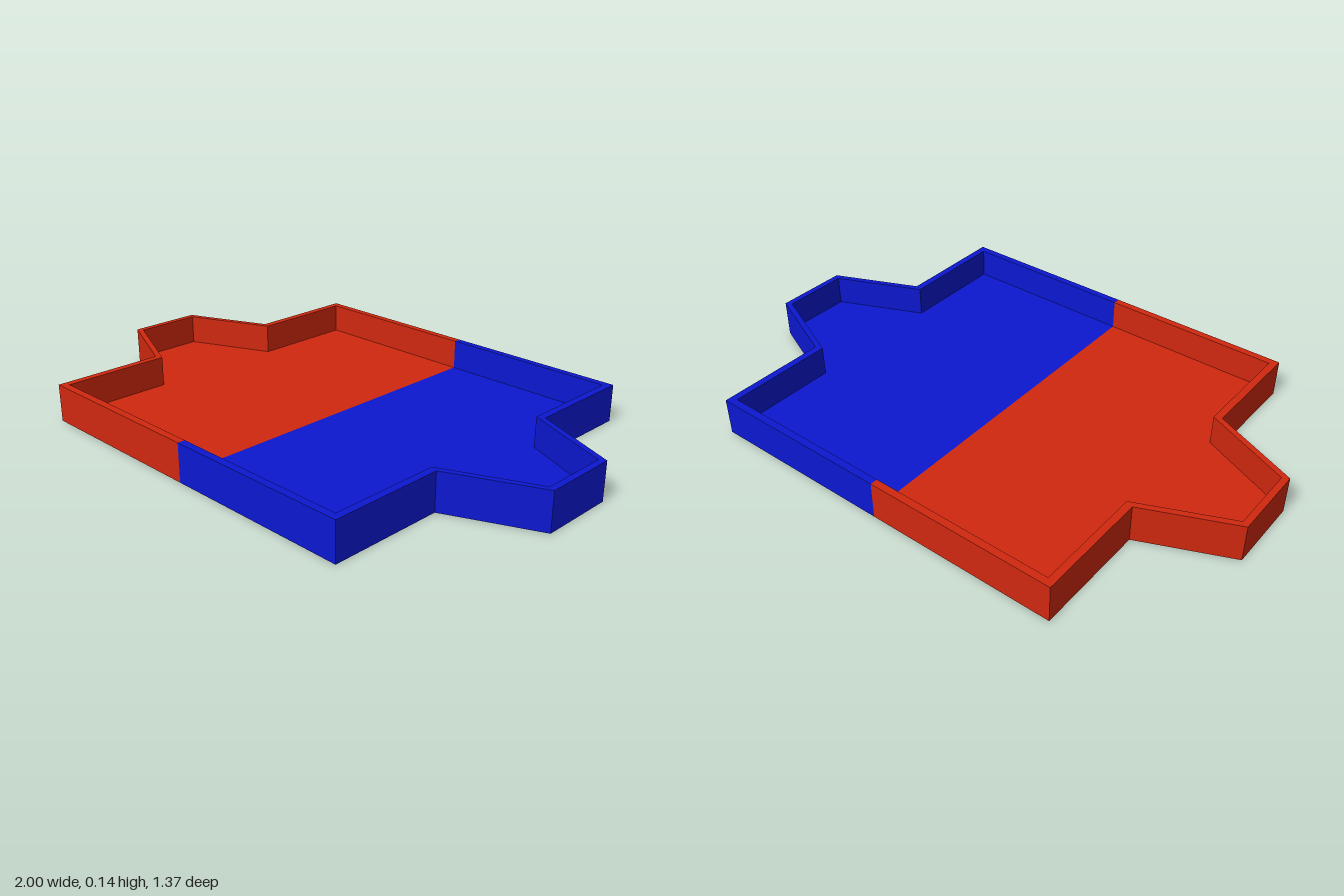
import * as THREE from 'three';

const HEIGHT = 0.137, FLOOR = 0.027;

// Half outlines from the centre seam round one side, as [x, z]; the other z half is mirrored
const OUTER = [[0, 0.687], [0.687, 0.687], [0.687, 0.274], [1, 0.137]];
const INNER = [[0, 0.66], [0.66, 0.66], [0.66, 0.263], [0.977, 0.124]];

function halfOutline(points, side) {
  const near = points.map(([x, z]) => new THREE.Vector2(side * x, -z));
  const far = points.map(([x, z]) => new THREE.Vector2(side * x, z)).reverse();
  return [...near, ...far];
}

// Extrude a plan outline upwards from the ground
function slab(points, height, material, name) {
  const geometry = new THREE.ExtrudeGeometry(new THREE.Shape(points), { depth: height, bevelEnabled: false });
  geometry.rotateX(-Math.PI / 2);
  const mesh = new THREE.Mesh(geometry, material);
  mesh.name = name;
  return mesh;
}

function trayHalf(side, color, name) {
  const half = new THREE.Group();
  half.name = name;
  const material = new THREE.MeshStandardMaterial({ color });
  const outer = halfOutline(OUTER, side);
  const inner = halfOutline(INNER, side);
  // Rim wall: out along the outer outline, back along the inner one
  half.add(slab([...outer, ...inner.slice().reverse()], HEIGHT, material, 'rimWall'));
  // Floor plate inside the wall
  half.add(slab(inner, FLOOR, material, 'floor'));
  return half;
}

export function createModel() {
  const tray = new THREE.Group();
  tray.name = 'tray';
  tray.add(trayHalf(-1, 0xd0280f, 'rightHalf'));
  tray.add(trayHalf(1, 0x0c18d0, 'leftHalf'));
  return tray;
}
